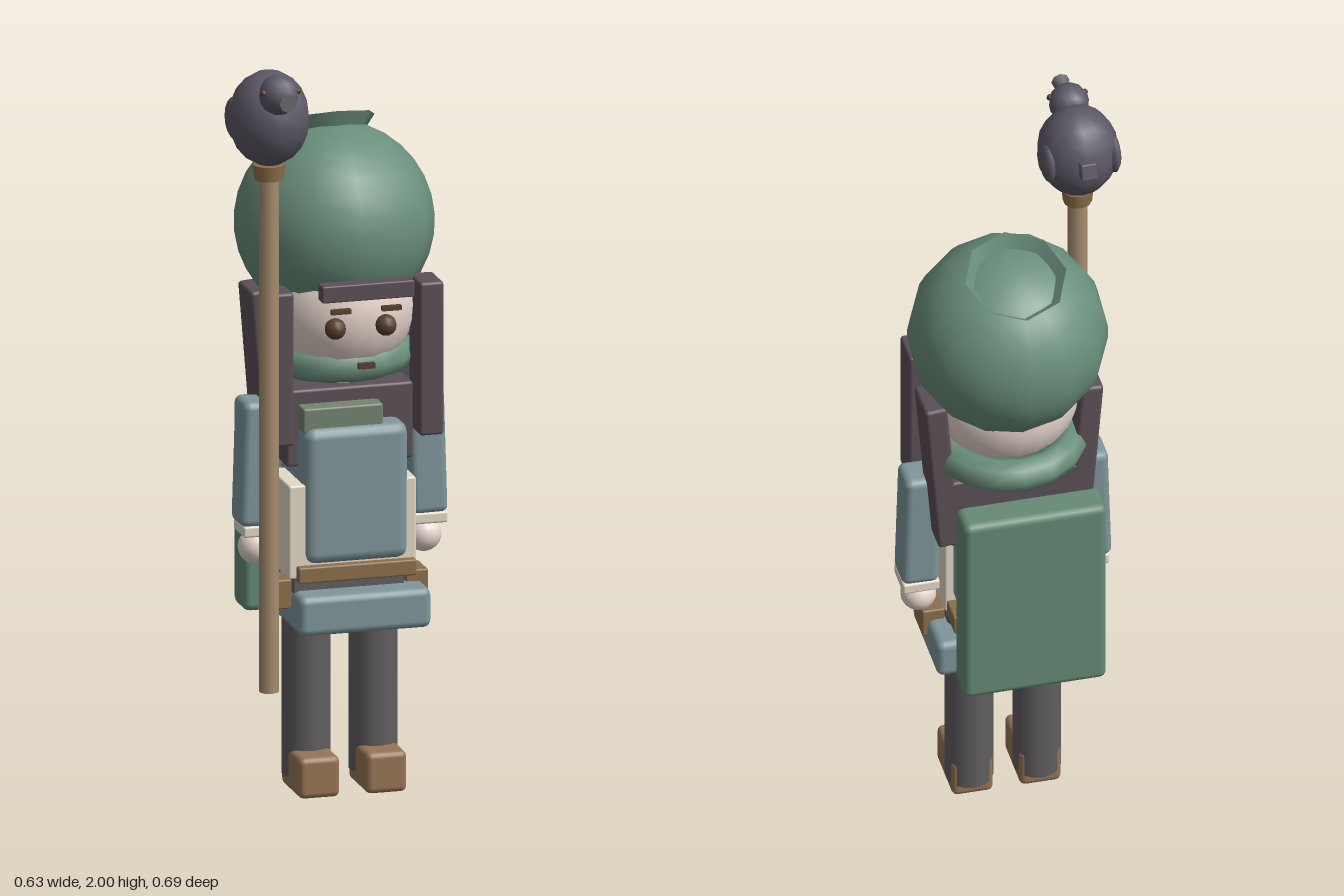
import * as THREE from 'three';
import { RoundedBoxGeometry } from 'three/addons/geometries/RoundedBoxGeometry.js';

const COLORS = {
  green: 0x6a8f7c, pack: 0x668a75, blue: 0x7f969b, skin: 0xead9cf, hair: 0x5c5058, cream: 0xe3dbc8,
  belt: 0x8c6e4b, shoe: 0x977556, staff: 0xa68d70, legs: 0x625e61, bird: 0x5d5866, eye: 0x59402f,
  collar: 0x75846f, beak: 0x6b686b,
};
const MID = 0.035; // body axis

export function createModel() {
  const model = new THREE.Group();
  const mats = {};
  const mat = (c) => (mats[c] ??= new THREE.MeshStandardMaterial({ color: COLORS[c] }));

  function add(name, geometry, color, x, y, z, parent = model) {
    const mesh = new THREE.Mesh(geometry, mat(color));
    mesh.name = name;
    mesh.position.set(x, y, z);
    parent.add(mesh);
    return mesh;
  }
  // Box given by its extents on each axis; r rounds the edges
  function box(name, color, [x0, x1], [y0, y1], [z0, z1], r = 0, parent = model) {
    const s = [x1 - x0, y1 - y0, z1 - z0];
    const g = r ? new RoundedBoxGeometry(...s, 2, r) : new THREE.BoxGeometry(...s);
    return add(name, g, color, (x0 + x1) / 2, (y0 + y1) / 2, (z0 + z1) / 2, parent);
  }
  const ball = (r, w = 16, h = 12) => new THREE.SphereGeometry(r, w, h);

  // Head and neck
  add('head', ball(0.2, 20, 14), 'skin', MID, 1.3, -0.045);
  add('neck', new THREE.CylinderGeometry(0.07, 0.07, 0.14, 12), 'skin', MID, 1.08, -0.04);

  // Hat: tilted open sphere with a flared open knot on top
  const hat = add('hat', new THREE.SphereGeometry(0.26, 14, 12, Math.PI / 2, Math.PI * 2, 0, 2.39),
    'green', MID, 1.5, -0.087);
  hat.rotation.x = -0.3;
  hat.material = mat('green').clone();
  hat.material.side = THREE.DoubleSide;
  const knot = add('hatKnot', new THREE.CylinderGeometry(0.134, 0.09, 0.055, 8, 1, true),
    'green', MID, 1.725, -0.165);
  knot.rotation.x = -0.395;
  knot.material = hat.material;

  // Face
  for (const s of [-1, 1]) {
    const x = MID + s * 0.068;
    add('eye', ball(0.028, 12, 8), 'eye', x, 1.28, 0.157);
    box('eyebrow', 'eye', [x - 0.026, x + 0.026], [1.334, 1.346], [0.2, 0.216]);
  }
  box('mouth', 'eye', [MID - 0.022, MID + 0.022], [1.183, 1.198], [0.202, 0.216]);

  // Hair
  box('fringe', 'hair', [-0.088, 0.16], [1.37, 1.415], [0.185, 0.228], 0.004);
  for (const s of [-1, 1]) {
    const f = MID + s * 0.201;
    box('frontLock', 'hair', [f - 0.032, f + 0.032], [0.965, 1.375], [0.02, 0.126], 0.008);
    const b = MID + s * 0.19;
    const lock = box('backLock', 'hair', [b - 0.03, b + 0.03], [0.89, 1.34], [-0.165, -0.04], 0.01);
    lock.rotation.z = -s * 0.08;
  }
  box('shawl', 'hair', [-0.135, 0.205], [0.89, 1.095], [-0.165, 0.06], 0.008);

  // Scarf around the neck
  const scarf = add('scarf', new THREE.TorusGeometry(0.165, 0.045, 8, 16), 'green', MID, 1.157, -0.08);
  scarf.rotation.x = Math.PI / 2;

  // Torso and clothes
  box('chest', 'blue', [-0.105, 0.175], [0.64, 1.005], [-0.12, 0.13], 0.03);
  box('collar', 'collar', [-0.105, 0.11], [0.99, 1.057], [-0.02, 0.11], 0.006);
  box('vest', 'cream', [-0.145, 0.197], [0.605, 0.855], [-0.07, 0.115], 0.006);
  box('belt', 'belt', [-0.125, 0.192], [0.597, 0.64], [-0.145, 0.137], 0.005);
  box('tunicHem', 'blue', [-0.12, 0.235], [0.45, 0.557], [-0.145, 0.13], 0.02);
  box('hips', 'legs', [-0.115, 0.18], [0.53, 0.61], [-0.105, 0.06]);
  for (const x of [-0.148, 0.218]) {
    box('pouch', 'belt', [x - 0.03, x + 0.03], [0.508, 0.587], [-0.035, 0.05], 0.005);
  }
  box('backpack', 'pack', [-0.19, 0.19], [0.45, 1.01], [-0.25, -0.145], 0.02);

  // Arms, legs and shoes
  for (const s of [-1, 1]) {
    const arm = new THREE.Group();
    arm.name = s < 0 ? 'rightArm' : 'leftArm';
    arm.position.set(MID + s * 0.225, 0, -0.038);
    model.add(arm);
    box('sleeve', 'blue', [-0.05, 0.05], [0.72, 1.055], [-0.052, 0.052], 0.02, arm).rotation.z = s * 0.03;
    box('cuff', 'cream', [-0.046, 0.052], [0.695, 0.725], [-0.05, 0.05], 0.006, arm);
    add('hand', ball(0.047), 'skin', 0, 0.658, 0, arm);

    const x = MID + s * 0.09;
    add('leg', new THREE.CylinderGeometry(0.063, 0.063, 0.54, 14), 'legs', x, 0.31, -0.038);
    box('shoe', 'shoe', [x - 0.055, x + 0.055], [0.005, 0.115], [-0.083, 0.092], 0.016);
  }

  // Staff with a round bird perched on top
  const staff = new THREE.Group();
  staff.name = 'staff';
  staff.position.set(-0.213, 0, 0.163);
  model.add(staff);
  add('pole', new THREE.CylinderGeometry(0.026, 0.026, 1.4, 10), 'staff', 0, 1.025, 0, staff);
  add('poleCap', new THREE.CylinderGeometry(0.042, 0.038, 0.04, 10), 'belt', 0, 1.718, 0, staff);
  add('birdBody', ball(0.107, 12, 10), 'bird', 0, 1.862, 0, staff).scale.y = 1.18;
  add('birdHead', ball(0.053, 10, 8), 'bird', 0, 1.948, 0.09, staff);
  const beak = add('beak', new THREE.ConeGeometry(0.024, 0.06, 8), 'beak', 0, 1.948, 0.152, staff);
  beak.rotation.x = -Math.PI / 2;
  box('birdTail', 'bird', [-0.021, 0.021], [1.855, 1.9], [-0.13, -0.085], 0.004, staff).rotation.x = 0.3;
  for (const s of [-1, 1]) {
    add('birdEye', ball(0.009, 8, 6), 'eye', s * 0.046, 1.96, 0.108, staff);
    add('birdWing', ball(0.05, 10, 8), 'bird', s * 0.086, 1.86, -0.03, staff).scale.set(0.4, 1.1, 1);
  }
  return model;
}
